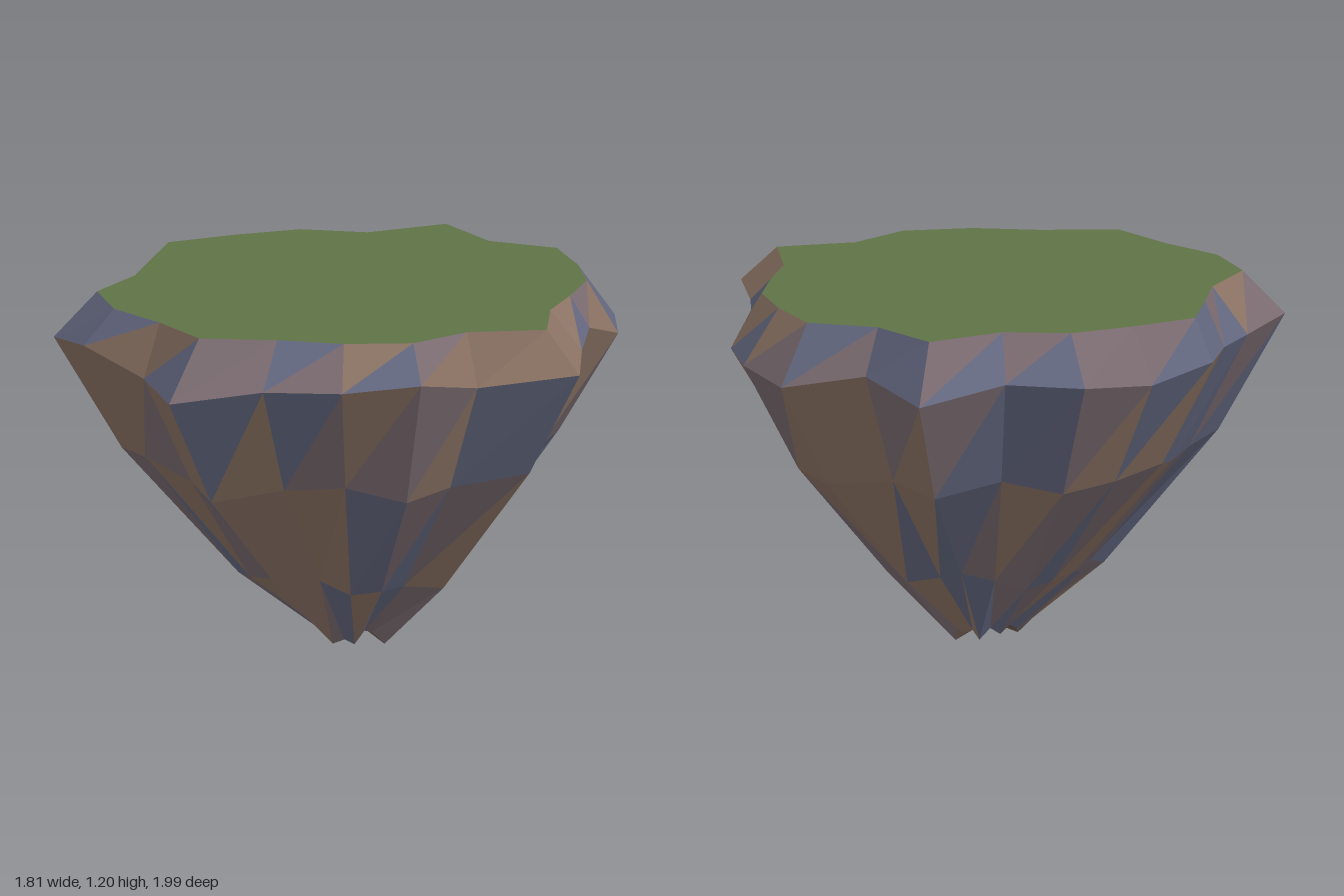
import * as THREE from 'three';

const SIDES = 22;
const CX = 0.05, CZ = 0.03, TOP = 1.2;

// Outline radius of the widest ring, one value per spoke, from +x towards +z
const RADIUS = [0.78, 0.835, 1.017, 0.801, 0.917, 0.919, 0.929, 1.056, 0.886, 0.963, 0.998,
  0.855, 0.83, 0.926, 0.907, 0.922, 0.853, 1.041, 0.832, 0.957, 0.913, 0.864];
// Grass edge as a share of that radius
const INSET = [0.917, 0.86, 0.854, 0.914, 0.88, 0.868, 0.848, 0.84, 0.925, 0.889, 0.857,
  0.865, 0.918, 0.923, 0.882, 0.857, 0.852, 0.857, 0.9, 0.873, 0.857, 0.88];
// Uneven heights of the rock rings
const RIM_Y = [1.095, 1.075, 1.07, 1.025, 1.08, 1.06, 1.055, 1.01, 1.02, 1.085, 1.05,
  1.04, 1.05, 1.06, 1.02, 1.04, 1.05, 1.01, 1.05, 1.0, 1.02, 1.02];
const MID_Y = [0.67, 0.67, 0.7, 0.65, 0.635, 0.69, 0.675, 0.63, 0.64, 0.69, 0.67,
  0.66, 0.65, 0.69, 0.66, 0.64, 0.68, 0.65, 0.66, 0.64, 0.65, 0.7];
const LOW_Y = [0.29, 0.29, 0.245, 0.25, 0.25, 0.24, 0.285, 0.24, 0.26, 0.25, 0.24,
  0.27, 0.25, 0.28, 0.26, 0.24, 0.27, 0.31, 0.27, 0.25, 0.28, 0.24];
const TIP_Y = [0.1, 0.09, 0.01, 0.05, 0.06, 0.015, 0.03, 0.015, 0.06, 0.05, 0.045,
  0.06, 0.03, 0.05, 0.07, 0.04, 0.06, 0.025, 0.05, 0.04, 0.06, 0];

function seeded(seed) {
  return () => {
    seed = (seed * 16807) % 2147483647;
    return seed / 2147483647;
  };
}

function ring(scale, height) {
  return RADIUS.map((r, i) => {
    const a = (i / SIDES) * Math.PI * 2;
    const d = r * scale(i);
    return [CX + d * Math.cos(a), height(i), CZ + d * Math.sin(a)];
  });
}

function facetMesh(name, triangles, color) {
  const geometry = new THREE.BufferGeometry();
  geometry.setAttribute('position', new THREE.Float32BufferAttribute(triangles.flat(2), 3));
  geometry.computeVertexNormals();
  const mesh = new THREE.Mesh(geometry, new THREE.MeshStandardMaterial({ color, flatShading: true }));
  mesh.name = name;
  return mesh;
}

export function createModel() {
  const island = new THREE.Group();
  island.name = 'floatingIsland';

  const rings = [
    ring((i) => INSET[i], () => TOP),
    ring(() => 1, (i) => RIM_Y[i]),
    ring(() => 0.775, (i) => MID_Y[i]),
    ring(() => 0.39, (i) => LOW_Y[i]),
    ring(() => 0.126, (i) => TIP_Y[i]),
  ];

  // Rock facets, sorted at random into three stone tints
  const stones = [
    { name: 'brownRock', color: 0x8b7364, triangles: [] },
    { name: 'mauveRock', color: 0x7a6b70, triangles: [] },
    { name: 'slateRock', color: 0x646880, triangles: [] },
  ];
  const random = seeded(417);
  const addFacet = (...corners) => stones[Math.floor(random() * 3)].triangles.push(corners);

  for (let k = 0; k < rings.length - 1; k++) {
    const upper = rings[k], lower = rings[k + 1];
    for (let i = 0; i < SIDES; i++) {
      const j = (i + 1) % SIDES;
      addFacet(upper[i], upper[j], lower[j]);
      addFacet(upper[i], lower[j], lower[i]);
    }
  }
  for (const { name, triangles, color } of stones) island.add(facetMesh(name, triangles, color));

  // Flat grass on top and the closed rock tip underneath
  const grass = [], tip = [];
  const edge = rings[0], foot = rings[rings.length - 1];
  for (let i = 0; i < SIDES; i++) {
    const j = (i + 1) % SIDES;
    grass.push([[CX, TOP, CZ], edge[j], edge[i]]);
    tip.push([[CX, 0.06, CZ], foot[i], foot[j]]);
  }
  island.add(facetMesh('grassTop', grass, 0x5f7245));
  island.add(facetMesh('rockTip', tip, 0x6e5a50));

  return island;
}
